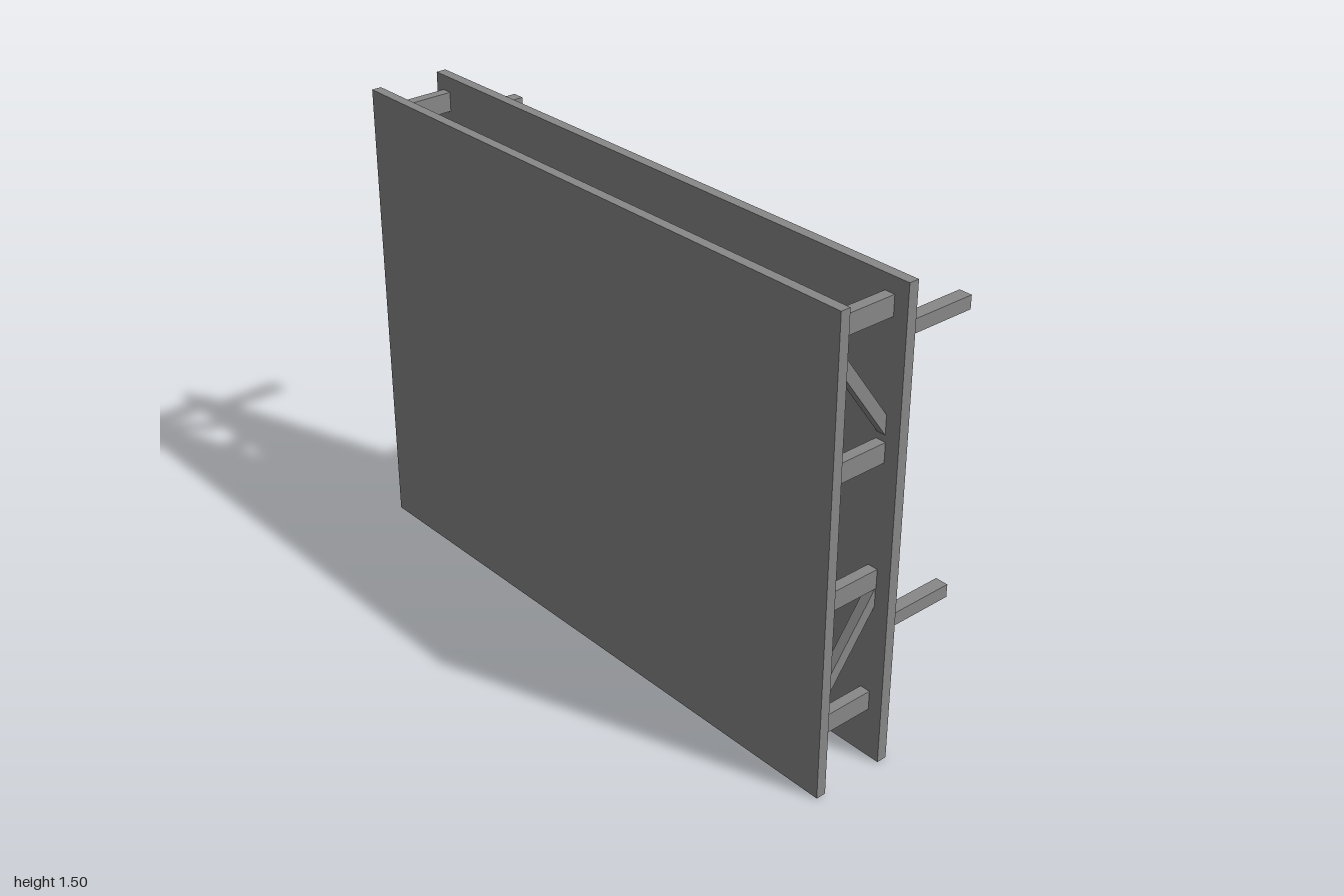
import * as THREE from 'three';

export function createModel() {
  const model = new THREE.Group();
  const steel = new THREE.MeshStandardMaterial({ color: 0x888888 });
  steel.name = 'grey steel';

  const add = (name, geometry) => {
    const mesh = new THREE.Mesh(geometry, steel);
    mesh.name = name;
    model.add(mesh);
    return mesh;
  };
  // Box given by its minimum and maximum on each axis
  const box = (name, x0, x1, y0, y1, z0, z1) => {
    add(name, new THREE.BoxGeometry(x1 - x0, y1 - y0, z1 - z0))
      .position.set((x0 + x1) / 2, (y0 + y1) / 2, (z0 + z1) / 2);
  };
  const square = (Type, h) => new Type([[-h, -h], [h, -h], [h, h], [-h, h]]
    .map(([x, y]) => new THREE.Vector2(x, y)));

  // Two large parallel panels
  box('outerPanel', -0.26, -0.228, 0, 1.5, -1, 1);
  box('innerPanel', -0.019, 0.014, 0, 1.5, -1, 1);

  // Hollow square arm
  const profile = square(THREE.Shape, 0.021);
  profile.holes.push(square(THREE.Path, 0.017));
  const armGeometry = new THREE.ExtrudeGeometry(profile, { depth: 0.221, bevelEnabled: false });
  armGeometry.rotateY(Math.PI / 2);

  for (const side of [-1, 1]) {
    const end = side < 0 ? 'back' : 'front';
    const z = side * 0.95;

    // Upright rail with two projecting arms
    box(end + 'Rail', 0.014, 0.037, 0.015, 1.455, z - 0.028, z + 0.028);
    for (const y of [0.445, 1.347]) {
      add(end + 'Arm', armGeometry).position.set(0.037, y, z);
    }

    // Horizontal spacers between the panels
    const zs = side < 0 ? -0.951 : 0.936;
    for (const y of [0.19, 0.597, 0.992, 1.42]) {
      box(end + 'Spacer', -0.228, -0.019, y - 0.031, y + 0.031, zs - 0.017, zs + 0.017);
    }

    // Diagonal braces, cut flush with the panels
    for (const [yLeft, yRight] of [[0.224, 0.506], [1.33, 1.044]]) {
      const shape = new THREE.Shape();
      shape.moveTo(-0.228, yLeft);
      shape.lineTo(-0.019, yRight);
      shape.lineTo(-0.019, yRight + 0.061);
      shape.lineTo(-0.228, yLeft + 0.061);
      shape.closePath();
      add(end + 'Brace', new THREE.ExtrudeGeometry(shape, { depth: 0.03, bevelEnabled: false }))
        .position.z = zs - 0.015;
    }
  }
  return model;
}
